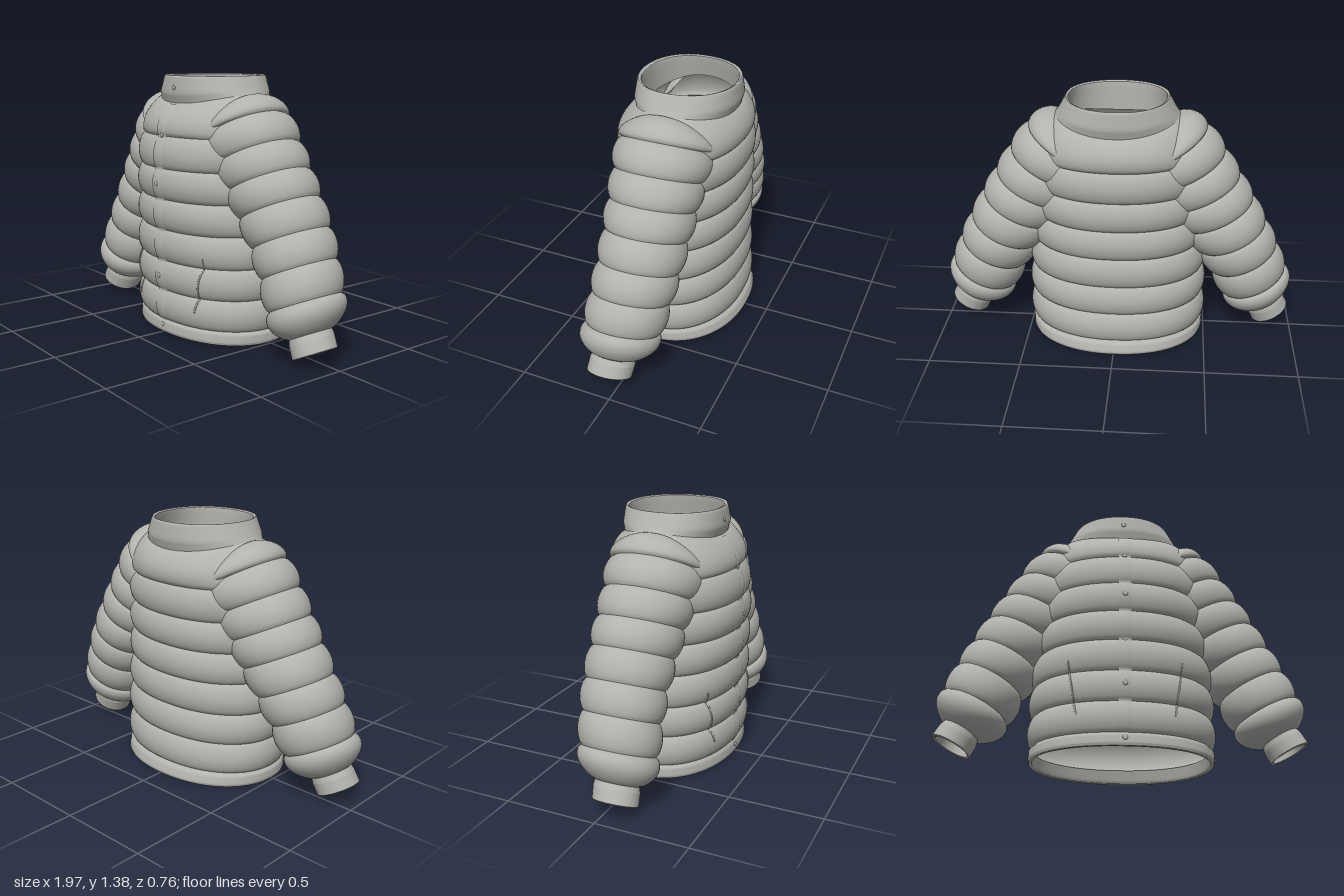
import * as THREE from 'three';

const fabric = new THREE.MeshStandardMaterial({ color: 0xb2b2ae, side: THREE.DoubleSide });
fabric.name = 'grey fabric';
const POWER = 2.15; // roundness of the body cross-section
const lerp = THREE.MathUtils.lerp;
const mix = (p, q, t) => p.map((v, i) => lerp(v, q[i], t));
const puff = t => Math.pow(Math.max(0, Math.sin(Math.PI * t)), 0.65);

// Smooth grid surface from point(u, v); v wraps round when closed
function loft(name, rows, cols, point, closed = true) {
  const n = closed ? cols : cols + 1, pos = [], idx = [];
  for (let i = 0; i <= rows; i++)
    for (let j = 0; j < n; j++) pos.push(...point(i / rows, j / cols));
  for (let i = 0; i < rows; i++)
    for (let j = 0; j < cols; j++) {
      const k = (j + 1) % n, a = i * n + j, b = i * n + k;
      idx.push(a, a + n, b, b, a + n, b + n);
    }
  const g = new THREE.BufferGeometry();
  g.setAttribute('position', new THREE.Float32BufferAttribute(pos, 3));
  g.setIndex(idx);
  g.computeVertexNormals();
  const mesh = new THREE.Mesh(g, fabric);
  mesh.name = name;
  return mesh;
}

// Body seams: height, half width, front depth, back depth
const seams = [
  [0.07, 0.472, 0.328, 0.335], [0.235, 0.47, 0.33, 0.325], [0.4, 0.468, 0.333, 0.318],
  [0.57, 0.455, 0.337, 0.318], [0.735, 0.445, 0.342, 0.318], [0.9, 0.44, 0.345, 0.32],
  [1.07, 0.435, 0.325, 0.322], [1.24, 0.325, 0.243, 0.28]
];
const bulgeOf = i => (i === 6 ? 0.04 : 0.028);

// Oval ring of the body, seen from above; angle 0 points left
function oval([y, a, f, b], angle, lift = 0) {
  const c = Math.cos(angle), s = Math.sin(angle), e = 2 / POWER;
  return [Math.sign(c) * a * Math.abs(c) ** e, y + lift * c * c,
    Math.sign(s) * (s > 0 ? f : b) * Math.abs(s) ** e];
}

// Body section at any height, with or without padding
function section(y, padded = true) {
  let i = 0;
  while (i < seams.length - 2 && y > seams[i + 1][0]) i++;
  const t = THREE.MathUtils.clamp((y - seams[i][0]) / (seams[i + 1][0] - seams[i][0]), 0, 1);
  const s = mix(seams[i], seams[i + 1], t), p = padded ? bulgeOf(i) * puff(t) : 0;
  return [y, s[1] + p, s[2] + p, s[3] + p];
}

// Point on the front of the body, raised by a small offset
function onFront(x, y, raise) {
  const [, a, f] = section(y);
  return [x, y, f * (1 - Math.abs(x / a) ** POWER) ** (1 / POWER) + raise];
}

// Surface through a short list of oval rings
function ovalBand(name, rings) {
  return loft(name, (rings.length - 1) * 4, 80, (u, v) => {
    const k = u * (rings.length - 1), i = Math.min(Math.floor(k), rings.length - 2);
    const r = mix(rings[i], rings[i + 1], k - i);
    return oval(r, v * Math.PI * 2, r[4]);
  });
}

// Sleeve seams: outer x, outer y, z centre, half width, half depth, tilt, padding below
const sleeveSeams = [
  [0.32, 1.285, -0.01, 0.2, 0.2, 1.0, 0.045], [0.47, 1.215, -0.005, 0.225, 0.235, 0.52, 0.03],
  [0.57, 1.08, -0.005, 0.225, 0.225, 0.47, 0.025], [0.655, 0.948, -0.008, 0.22, 0.215, 0.45, 0.025],
  [0.733, 0.815, -0.01, 0.21, 0.205, 0.45, 0.025], [0.81, 0.67, -0.008, 0.195, 0.2, 0.45, 0.025],
  [0.88, 0.525, 0.005, 0.188, 0.193, 0.45, 0.025], [0.94, 0.37, 0.022, 0.182, 0.188, 0.45, 0.05],
  [0.932, 0.198, 0.045, 0.102, 0.115, 0.47, 0]
];
const cuffRings = [
  [0.932, 0.198, 0.045, 0.102, 0.115, 0.47], [0.952, 0.175, 0.048, 0.11, 0.12, 0.47],
  [0.983, 0.118, 0.055, 0.112, 0.118, 0.47], [0.978, 0.11, 0.055, 0.107, 0.112, 0.47],
  [0.966, 0.108, 0.055, 0.094, 0.1, 0.47], [0.92, 0.195, 0.045, 0.09, 0.1, 0.47]
];

function sleevePoint(ring, pad, v, side) {
  const [ox, oy, z, hw, hd, tilt] = ring, q = v * Math.PI * 2;
  const d = -hw + (hw + pad) * Math.cos(q);
  let x = ox + Math.cos(tilt) * d, pz = z + (hd + pad) * Math.sin(q);
  const y = oy + Math.sin(tilt) * d;
  // keep the sleeve's inner side just under the body surface
  const [, a, f, b] = section(y, false);
  const k = (Math.abs(x / a) ** POWER + Math.abs(pz / (pz > 0 ? f : b)) ** POWER) ** (1 / POWER);
  if (k < 0.95) { x *= 0.95 / k; pz *= 0.95 / k; }
  return [x * side, y, pz];
}

function makeSleeve(side) {
  const sleeve = new THREE.Group();
  sleeve.name = side > 0 ? 'leftSleeve' : 'rightSleeve';
  for (let i = 0; i < sleeveSeams.length - 1; i++) {
    const p = sleeveSeams[i], q = sleeveSeams[i + 1];
    sleeve.add(loft('sleevePuff', 16, 56,
      (u, v) => sleevePoint(mix(p, q, u), p[6] * puff(u), v, side)));
  }
  for (let i = 0; i < cuffRings.length - 1; i++)
    sleeve.add(loft('cuff', 3, 48,
      (u, v) => sleevePoint(mix(cuffRings[i], cuffRings[i + 1], u), 0, v, side)));
  return sleeve;
}

export function createModel() {
  const jacket = new THREE.Group();
  jacket.name = 'paddedJacket';

  // padded body bands, creased at every seam
  for (let i = 0; i < seams.length - 1; i++) {
    jacket.add(loft('bodyPuff', 16, 96, (u, v) => {
      const s = mix(seams[i], seams[i + 1], u), p = bulgeOf(i) * puff(u);
      return oval([s[0], s[1] + p, s[2] + p, s[3] + p], v * Math.PI * 2, i === 6 ? 0.05 * u : 0);
    }));
  }

  // hem with a turned-in lip
  jacket.add(ovalBand('hem', [
    [0.072, 0.472, 0.328, 0.335, 0], [0.055, 0.488, 0.34, 0.36, 0], [0.015, 0.49, 0.345, 0.374, 0],
    [0, 0.485, 0.34, 0.37, 0], [0.002, 0.466, 0.318, 0.345, 0], [0.07, 0.458, 0.312, 0.325, 0]
  ]));

  // stand-up collar with a thick top edge
  jacket.add(ovalBand('collar', [
    [1.235, 0.33, 0.24, 0.278, 0.05], [1.29, 0.312, 0.257, 0.295, 0.02],
    [1.372, 0.275, 0.248, 0.288, 0.005], [1.384, 0.27, 0.242, 0.282, 0],
    [1.378, 0.258, 0.225, 0.268, 0], [1.22, 0.285, 0.22, 0.26, 0.04]
  ]));

  for (const side of [1, -1]) {
    jacket.add(makeSleeve(side));
    // slanted pocket zip
    const pts = [];
    for (let i = 0; i <= 24; i++)
      pts.push(new THREE.Vector3(...onFront(side * lerp(0.25, 0.297, i / 24), lerp(0.16, 0.46, i / 24), 0)));
    const zip = new THREE.Mesh(
      new THREE.TubeGeometry(new THREE.CatmullRomCurve3(pts), 60, 0.005, 6), fabric);
    zip.name = 'pocketZip';
    jacket.add(zip);
  }

  // overlapping front placket
  jacket.add(loft('placket', 112, 6,
    (u, v) => onFront(lerp(-0.04, 0.03, v), lerp(0.07, 1.235, u), 0.004 * Math.min(1, (1 - v) * 3)), false));

  // snap buttons
  for (const y of [0.04, 0.32, 0.57, 0.82, 1.075, 1.32]) {
    const z = y < 0.07 ? 0.342 : y > 1.24 ? 0.256 : onFront(0, y, 0.004)[2];
    const button = new THREE.Mesh(new THREE.SphereGeometry(0.013, 16, 10), fabric);
    button.name = 'button';
    button.scale.z = 0.5;
    button.position.set(-0.005, y, z);
    jacket.add(button);
  }
  return jacket;
}
